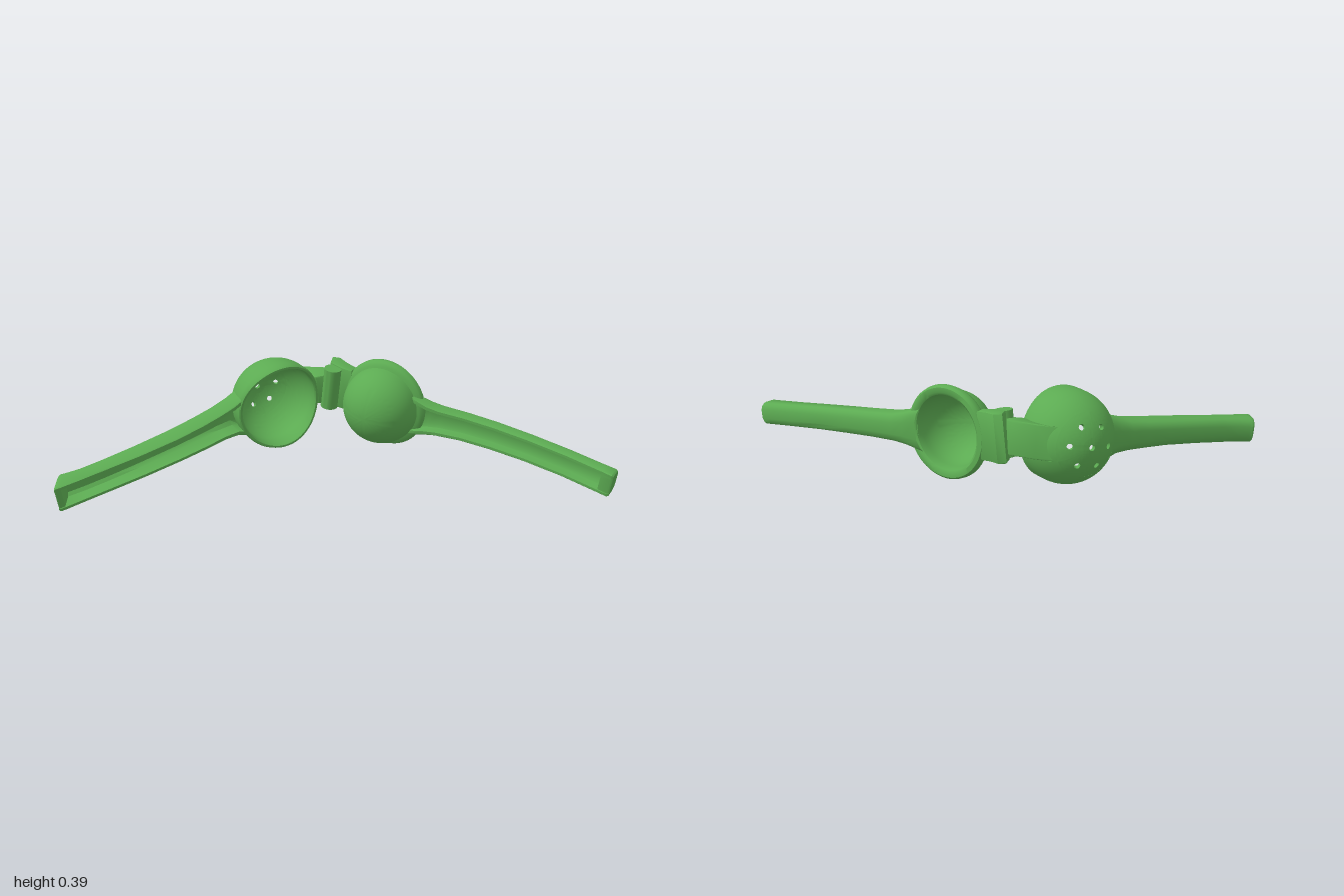
import * as THREE from 'three';
import { toCreasedNormals } from 'three/addons/utils/BufferGeometryUtils.js';

const green = new THREE.MeshStandardMaterial({ color: 0x5cab52, side: THREE.DoubleSide });
green.name = 'green enamel';
const V = (x, y, z) => new THREE.Vector3(x, y, z);

function addMesh(parent, name, geometry, crease = 0.7) {
  const mesh = new THREE.Mesh(toCreasedNormals(geometry, crease), green);
  mesh.name = name;
  parent.add(mesh);
  return mesh;
}

// Skin over closed rings of points, optionally capped at the last ring
function loft(rings, capEnd = false) {
  const n = rings[0].length, points = rings.flat(), index = [];
  for (let i = 0; i < rings.length - 1; i++) {
    for (let j = 0; j < n; j++) {
      const a = i * n + j, b = i * n + (j + 1) % n;
      index.push(a, b, a + n, b, b + n, a + n);
    }
  }
  if (capEnd) {
    const last = rings[rings.length - 1], start = (rings.length - 1) * n;
    const centre = V(0, 0, 0);
    last.forEach(p => centre.addScaledVector(p, 1 / n));
    points.push(centre);
    for (let j = 0; j < n; j++) index.push(start + j, start + (j + 1) % n, points.length - 1);
  }
  const g = new THREE.BufferGeometry().setFromPoints(points);
  g.setIndex(index);
  return g;
}

// Point on a dome around local +z: polar angle rho, turn phi
const onDome = (r, rho, phi) =>
  V(r * Math.sin(rho) * Math.cos(phi), r * Math.sin(rho) * Math.sin(phi), r * Math.cos(rho));

// Hollow bowl wall from polar angle start to the rim; lip = [radius, fraction of rim depth] outside to inside
function bowlWall(R, r, start, rim, lip) {
  const cols = 72, steps = 16, rings = [];
  const ring = f => rings.push(Array.from({ length: cols }, (_, j) => f(j / cols * Math.PI * 2)));
  const angle = i => start + (Math.PI / 2 - start) * i / steps;
  for (let i = 0; i <= steps; i++) ring(phi => onDome(R, angle(i), phi));
  for (const [radius, t] of lip) {
    ring(phi => V(radius * Math.cos(phi), radius * Math.sin(phi), -rim(phi) * t));
  }
  for (let i = steps; i >= 0; i--) ring(phi => onDome(r, angle(i), phi));
  return loft(rings);
}

// Dome patch with a drilled hole: inner skin, hole wall and outer skin in one loft
function drilledPatch(R, r, hole, edge) {
  const rows = 5, rings = [];
  const ring = (radius, t) => rings.push(hole.map((h, j) => onDome(radius,
    THREE.MathUtils.lerp(h[0], edge[j][0], t), THREE.MathUtils.lerp(h[1], edge[j][1], t))));
  for (let i = rows; i >= 0; i--) ring(r, i / rows);
  for (let i = 0; i <= rows; i++) ring(R, i / rows);
  return loft(rings);
}

function perforatedCap(parent, R, r, a, b) {
  const size = 0.065, mid = (a + b) / 2, half = (b - a) / 2, n = 32;
  // Centre hole
  const turn = Array.from({ length: 72 }, (_, j) => j / 72 * Math.PI * 2);
  addMesh(parent, 'centreDrain', drilledPatch(R, r, turn.map(t => [size, t]), turn.map(t => [a, t])));
  // Six holes around it, one in each sector
  for (let k = 0; k < 6; k++) {
    const phi0 = k * Math.PI / 3, hole = [], edge = [];
    for (let j = 0; j < n; j++) {
      const t = j / n * Math.PI * 2, c = Math.cos(t), s = Math.sin(t);
      const m = Math.max(Math.abs(c), Math.abs(s));
      hole.push([mid + size * c, phi0 + size * s / Math.sin(mid)]);
      edge.push([mid + half * c / m, phi0 + Math.PI / 6 * s / m]);
    }
    addMesh(parent, 'drainHole', drilledPatch(R, r, hole, edge));
  }
}

// Channel handle. Rows: x, y, z, half height, half depth, channel floor, end slant.
// side = +1 puts the closed back at +z, -1 at -z. The first row hugs the bowl.
function channelHandle(rows, side, bowlRadius) {
  const rings = rows.map(([x, y, z, hy, hz, floor, slant = 0], i) => {
    const outer = [[-0.94, -1], [-1, -0.9], [-1, 0.2], [-0.93, 0.55], [-0.75, 0.82], [-0.4, 0.97]];
    const inner = [[0.74, -1], [0.72, Math.min(floor, 0.1)], [0.5, floor]];
    const mirror = list => list.slice().reverse().map(([p, q]) => [-p, q]);
    return [...outer, ...mirror(outer), ...inner, ...mirror(inner)].map(([p, q]) => {
      const py = y + p * hy, pz = z + q * hz * side;
      const px = i === 0
        ? Math.sqrt(Math.max(0.005, bowlRadius ** 2 - py * py - pz * pz))
        : x - slant * q * hz;
      return V(px, py, pz);
    });
  });
  return loft(rings, true);
}

// Upright block from an outline in local x, z
function uprightBlock(outline, halfHeight) {
  const shape = new THREE.Shape(outline.map(([x, z]) => new THREE.Vector2(x, -z)));
  const bevel = 0.006;
  const g = new THREE.ExtrudeGeometry(shape, {
    depth: 2 * (halfHeight - bevel), bevelEnabled: true, bevelThickness: bevel,
    bevelSize: bevel, bevelOffset: -bevel, bevelSegments: 2,
  });
  return g.translate(0, 0, -halfHeight + bevel).rotateX(-Math.PI / 2);
}

// Half of the press: local x runs out along the handle, local z out through the dome
function makeHalf(name, centre, along, dome) {
  const half = new THREE.Group();
  half.name = name;
  const x = V(...along).normalize();
  const y = V(...dome).cross(x).normalize();
  const z = x.clone().cross(y);
  half.quaternion.setFromRotationMatrix(new THREE.Matrix4().makeBasis(x, y, z));
  half.position.set(...centre);
  return half;
}

export function createModel() {
  const model = new THREE.Group();
  model.name = 'citrusPress';

  // Perforated cup, its dome to the back
  const cup = makeHalf('cupHalf', [-0.235, 0.2, -0.18], [-0.853, -0.164, 0.493], [-0.49, 0.1, -0.87]);
  const R = 0.175, r = 0.16, capEdge = 0.75;
  const cupRim = phi => 0.03 + 0.035 * Math.sin(phi) ** 2;
  addMesh(cup, 'cupWall', bowlWall(R, r, capEdge, cupRim,
    [[0.176, 0.4], [0.176, 0.85], [0.172, 1], [0.164, 1], [0.16, 0.85]]));
  perforatedCap(cup, R, r, 0.2, capEdge);
  addMesh(cup, 'cupHandle', channelHandle([
    [0, 0, 0.03, 0.085, 0.06, 0.3],
    [0.19, 0.004, 0.02, 0.066, 0.056, 0.35],
    [0.25, 0.003, 0.01, 0.057, 0.055, 0.35],
    [0.34, 0.002, -0.008, 0.053, 0.055, 0.35],
    [0.45, 0.002, -0.026, 0.05, 0.054, 0.35],
    [0.6, 0.001, -0.04, 0.049, 0.051, 0.35],
    [0.73, 0, -0.047, 0.049, 0.047, 0.35],
    [0.82, 0, -0.05, 0.049, 0.047, 0.35, 0.3],
    [0.885, 0, -0.047, 0.05, 0.052, 0.3, 0.5],
    [0.887, 0, -0.047, 0.05, 0.052, -0.92, 0.5],
    [0.9, 0, -0.045, 0.05, 0.053, -0.96, 0.55],
    [0.907, 0, -0.045, 0.046, 0.05, -0.96, 0.55],
  ], 1, 0.168));

  // Web from the cup to the hinge, hollowed to follow the dome
  const web = [[-0.175, 0.085], [-0.24, 0.02], [-0.25, -0.02], [-0.215, -0.045], [-0.172, -0.03]];
  for (let i = 0; i <= 8; i++) {
    const t = -0.1 + i * 0.117;
    web.push([-0.163 * Math.cos(t), 0.163 * Math.sin(t)]);
  }
  addMesh(cup, 'cupHingeWeb', uprightBlock(web, 0.062));

  // Pressing bowl, its dome to the front
  const press = makeHalf('pressHalf', [0.18, 0.2, -0.15], [0.86, -0.16, 0.49], [-0.5, -0.08, 0.86]);
  const pressRim = phi => 0.045 - 0.01 * Math.cos(phi);
  addMesh(press, 'pressBowl', bowlWall(0.152, 0.137, 0.001, pressRim,
    [[0.16, 0.08], [0.172, 0.25], [0.177, 0.5], [0.175, 0.85], [0.168, 1], [0.15, 1], [0.141, 0.85], [0.138, 0.5]]));
  addMesh(press, 'pressHandle', channelHandle([
    [0, 0, -0.018, 0.085, 0.03, 0.3],
    [0.19, 0.006, -0.022, 0.064, 0.037, 0.3],
    [0.24, 0.01, -0.028, 0.055, 0.038, 0.3],
    [0.34, 0.018, -0.036, 0.051, 0.036, 0.3],
    [0.46, 0.024, -0.038, 0.049, 0.035, 0.3],
    [0.6, 0.028, -0.034, 0.047, 0.034, 0.3],
    [0.75, 0.029, -0.025, 0.046, 0.034, 0.3],
    [0.89, 0.028, -0.01, 0.046, 0.036, 0.3],
    [0.892, 0.028, -0.01, 0.046, 0.036, -0.92],
    [0.93, 0.028, -0.006, 0.046, 0.038, -0.96],
    [0.937, 0.028, -0.006, 0.041, 0.034, -0.96],
  ], -1, 0.147));

  // Hinge bracket and pin barrel
  addMesh(press, 'hingeBracket', uprightBlock([
    [-0.275, -0.07], [-0.245, -0.082], [-0.2, -0.062], [-0.155, -0.052],
    [-0.152, -0.008], [-0.2, -0.006], [-0.255, -0.018]], 0.09));
  const barrel = addMesh(press, 'hingeBarrel', new THREE.CylinderGeometry(0.034, 0.034, 0.17, 32));
  barrel.position.set(-0.225, 0, 0.012);

  model.add(cup, press);
  return model;
}
